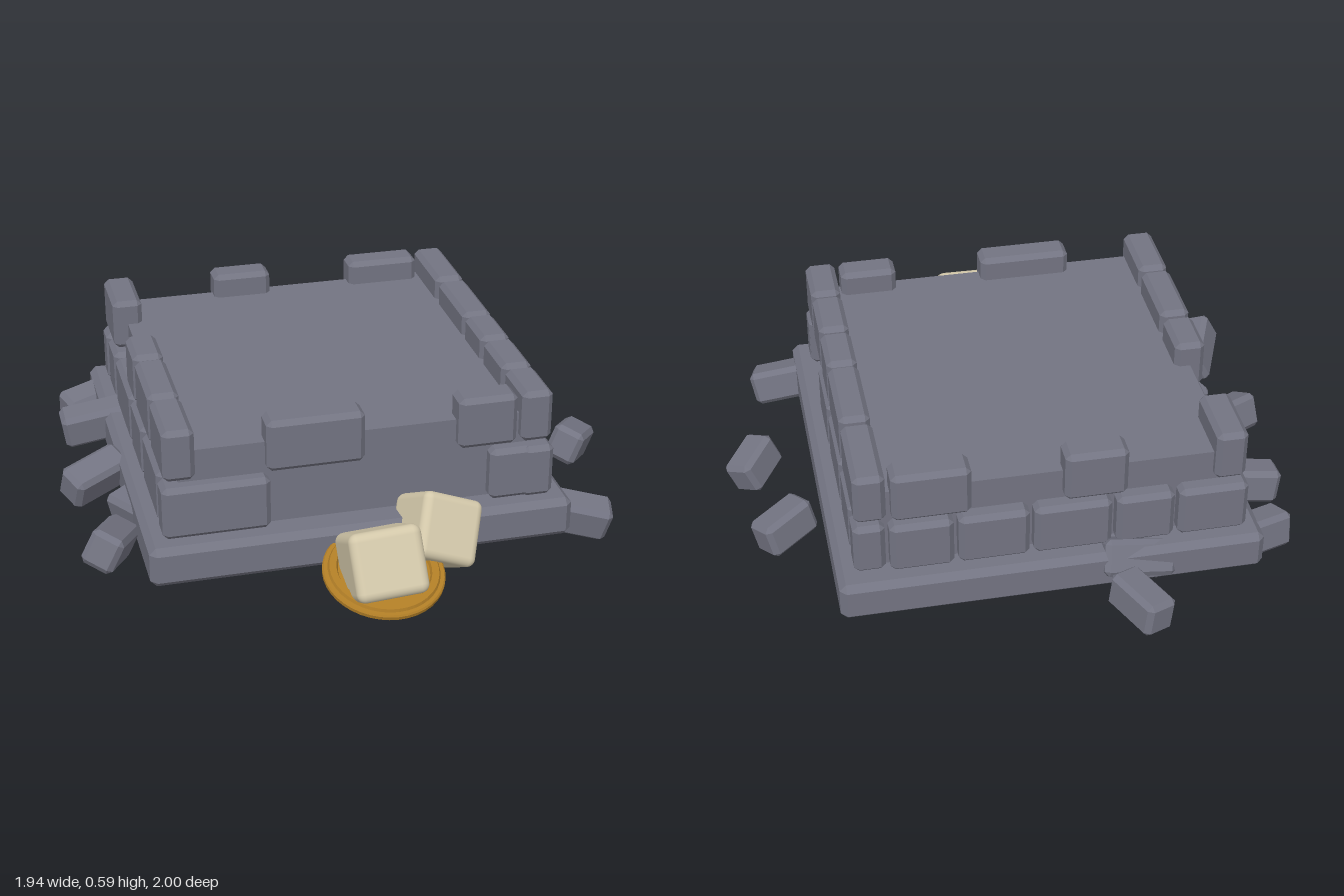
import * as THREE from 'three';
import { ConvexGeometry } from 'three/addons/geometries/ConvexGeometry.js';
import { RoundedBoxGeometry } from 'three/addons/geometries/RoundedBoxGeometry.js';

// Box with flat chamfers on every edge
function chamferBox(w, h, d, c) {
  const pts = [];
  for (const sx of [-1, 1]) for (const sy of [-1, 1]) for (const sz of [-1, 1]) {
    const p = [sx * w / 2, sy * h / 2, sz * d / 2], s = [sx, sy, sz];
    for (let face = 0; face < 3; face++) {
      pts.push(new THREE.Vector3(...p.map((v, i) => (i === face ? v : v - s[i] * c))));
    }
  }
  return new ConvexGeometry(pts);
}

export function createModel() {
  const model = new THREE.Group();
  const stone = new THREE.MeshStandardMaterial({ name: 'grey stone', color: 0x737482 });
  const gold = new THREE.MeshStandardMaterial({ name: 'old gold', color: 0xb07d26 });
  const cream = new THREE.MeshStandardMaterial({ name: 'cream', color: 0xd3c8aa });

  const add = (name, geometry, material, pos, rot = [0, 0, 0]) => {
    const mesh = new THREE.Mesh(geometry, material);
    mesh.name = name;
    mesh.position.set(...pos);
    mesh.rotation.set(...rot, 'YXZ');
    model.add(mesh);
  };

  // Plinth: four chamfered beams around an open underside
  for (const s of [-1, 1]) {
    add('plinthBeam', chamferBox(1.425, 0.14, 0.13, 0.022), stone, [-0.047, 0.14, -0.035 + s * 0.6475]);
    add('plinthBeam', chamferBox(0.13, 0.14, 1.425, 0.022), stone, [-0.047 + s * 0.6475, 0.14, -0.035]);
  }

  // Solid core behind the stone courses
  add('core', new THREE.BoxGeometry(1.195, 0.315, 1.215), stone, [-0.047, 0.3475, -0.033]);

  // Stone courses: spans along each wall
  const courses = [
    { name: 'upperStone', y0: 0.41, y1: 0.59, out: 0.003,
      right: [[0.41, 0.615], [0.18, 0.395], [-0.03, 0.165], [-0.35, -0.04], [-0.675, -0.37]],
      left: [[-0.675, -0.43], [-0.155, 0.03], [0.05, 0.335], [0.35, 0.605]],
      front: [[-0.36, -0.035], [0.28, 0.48]],
      back: [[-0.295, -0.085], [0.22, 0.48]] },
    { name: 'lowerStone', y0: 0.21, y1: 0.395, out: 0.01,
      right: [[0.525, 0.63], [-0.01, 0.25], [-0.325, -0.03], [-0.565, -0.34], [-0.68, -0.575]],
      left: [[-0.58, -0.42], [-0.4, -0.07], [-0.055, 0.18], [0.2, 0.5]],
      front: [[-0.705, -0.35], [0.39, 0.605]],
      back: [[-0.705, -0.47], [-0.455, -0.26], [-0.245, 0.015], [0.03, 0.265], [0.28, 0.49]] },
  ];
  const depth = 0.105;
  const walls = {
    right: { axis: 'z', at: 0.545, sign: 1 }, left: { axis: 'z', at: -0.64, sign: -1 },
    front: { axis: 'x', at: 0.56, sign: 1 }, back: { axis: 'x', at: -0.633, sign: -1 },
  };
  for (const course of courses) {
    const h = course.y1 - course.y0, y = (course.y0 + course.y1) / 2;
    for (const [side, wall] of Object.entries(walls)) {
      const at = wall.at + wall.sign * course.out;
      for (const [a, b] of course[side]) {
        const along = wall.axis === 'x';
        const geo = chamferBox(along ? b - a : depth, h, along ? depth : b - a, 0.017);
        add(course.name, geo, stone, along ? [(a + b) / 2, y, at] : [at, y, (a + b) / 2]);
      }
    }
  }

  // Fallen stones around the plinth: position, [pitch, yaw, roll], length
  const fallen = [
    [[-0.3, 0.122, -0.885], [0.1, -1.13, 0.04], 0.215],
    [[0.8, 0.115, -0.27], [0.2, 0.58, -0.15], 0.2],
    [[0.87, 0.11, 0.1], [0.3, 0.87, -0.25], 0.18],
    [[0.705, 0.105, 0.59], [0.2, -0.25, -0.25], 0.24],
    [[-0.77, 0.12, -0.62], [0.2, 0.4, 0.1], 0.23],
    [[-0.79, 0.155, -0.385], [0.1, 0, 0.15], 0.24],
    [[-0.845, 0.14, 0], [0.4, 0.58, 0.12], 0.23],
    [[-0.73, 0.11, 0.23], [0.2, -1.1, 0.1], 0.21],
    [[-0.855, 0.13, 0.455], [0.4, 1.05, -0.3], 0.24],
    [[-0.33, 0.15, -0.695], [0.5, 0.15, 0.2], 0.25],
  ];
  for (const [pos, rot, len] of fallen) {
    add('fallenStone', chamferBox(len, 0.125, 0.115, 0.017), stone, pos, rot);
  }

  // Rubble beneath the plinth: x, z, yaw
  const rubble = [
    [0.45, -0.53, 0.9], [0.52, 0.32, 1.2], [-0.6, -0.6, 0.3], [-0.64, -0.32, 0.8],
    [-0.62, 0.1, 0.4], [-0.5, 0.3, 1], [-0.36, 0.44, 0.5], [-0.35, -0.62, -0.3],
  ];
  rubble.forEach(([x, z, yaw], i) => {
    add('rubble', chamferBox(0.2, 0.115, 0.11, 0.017), stone, [x, 0.095, z], [0.3, yaw, i % 2 ? 0.15 : -0.15]);
  });

  // Coin: dished disc with stepped rims, leaning on the plinth
  const half = [[0.001, 0.009], [0.15, 0.009], [0.155, 0.02], [0.178, 0.02], [0.183, 0.011], [0.195, 0.011], [0.2, 0.006]];
  const profile = [...half.map(([r, y]) => [r, -y]), ...[...half].reverse()].map(([r, y]) => new THREE.Vector2(r, y));
  const coin = new THREE.LatheGeometry(profile, 40).toNonIndexed();
  coin.computeVertexNormals();
  add('coin', coin, gold, [-0.025, 0.107, 0.807], [0.28, 0, -0.03]);

  // Two rounded cubes
  add('cubeOnCoin', new RoundedBoxGeometry(0.24, 0.222, 0.222, 3, 0.03), cream, [-0.043, 0.17, 0.848], [-0.5, 0.02, 0.04]);
  add('tumbledCube', new RoundedBoxGeometry(0.22, 0.22, 0.22, 3, 0.028), cream, [0.183, 0.168, 0.69], [-0.5, 0.3, -0.45]);

  return model;
}
